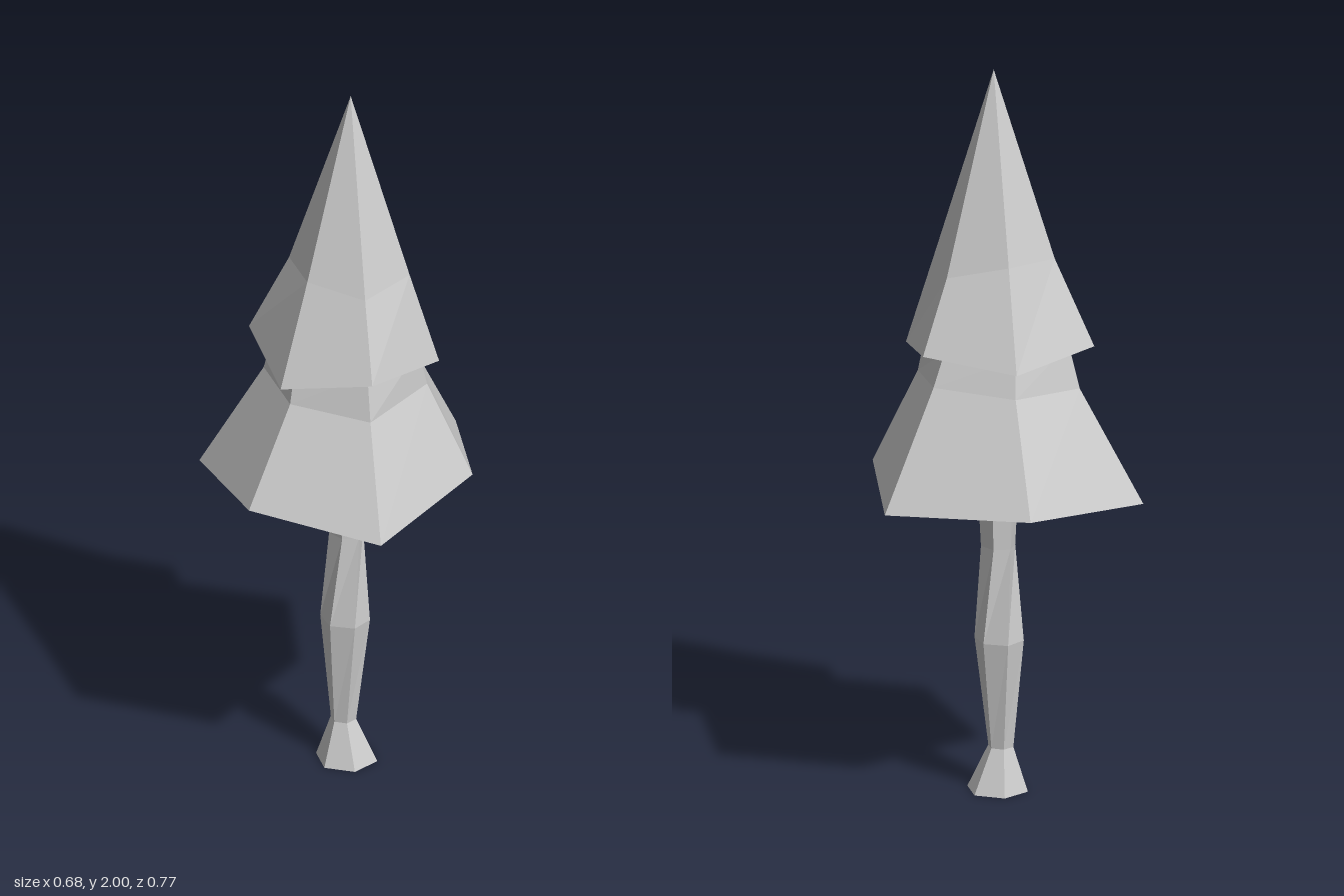
import * as THREE from 'three';

const SIDES = 6;
const material = new THREE.MeshStandardMaterial({ color: 0xcccccc, flatShading: true, roughness: 0.9 });

// Six-sided ring, first corner at the front (+z), running towards +x.
function ring(cx, y, cz, rx, rz, twist = 0) {
  return Array.from({ length: SIDES }, (_, i) => {
    const a = (i / SIDES) * Math.PI * 2 + twist;
    return [cx + Math.sin(a) * rx, y, cz + Math.cos(a) * rz];
  });
}

const point = (x, y, z) => Array.from({ length: SIDES }, () => [x, y, z]);

// Skins a stack of rings from bottom to top with flat faces.
function loft(name, rings) {
  const pos = [];
  const same = (a, b) => a.every((v, k) => v === b[k]);
  const tri = (a, b, c) => {
    if (!same(a, b) && !same(b, c) && !same(a, c)) pos.push(...a, ...b, ...c);
  };
  for (let r = 0; r < rings.length - 1; r++) {
    for (let i = 0; i < SIDES; i++) {
      const j = (i + 1) % SIDES;
      const [lo, hi] = [rings[r], rings[r + 1]];
      tri(lo[i], lo[j], hi[j]);
      tri(lo[i], hi[j], hi[i]);
    }
  }
  const geometry = new THREE.BufferGeometry();
  geometry.setAttribute('position', new THREE.Float32BufferAttribute(pos, 3));
  geometry.computeVertexNormals();
  const mesh = new THREE.Mesh(geometry, material);
  mesh.name = name;
  return mesh;
}

export function createModel() {
  const tree = new THREE.Group();
  tree.name = 'tree';

  // Trunk: flared foot, pinched ankle, knotted and slightly twisted stem
  tree.add(loft('trunk', [
    point(0.012, 0, 0.022),
    ring(0.012, 0, 0.022, 0.084, 0.083),
    ring(0.006, 0.12, 0.028, 0.035, 0.034),
    ring(0.006, 0.42, 0.022, 0.069, 0.063, 0.1),
    ring(0.008, 0.68, 0.02, 0.05, 0.044, 0.5),
    ring(0.008, 0.9, 0.02, 0.06, 0.056, 0.5),
  ]));

  // Lower foliage: wide uneven skirt that narrows to a neck
  tree.add(loft('lowerFoliage', [
    point(0.01, 0.875, 0.02),
    [[0.01, 0.885, 0.383], [0.34, 0.845, 0.22], [0.293, 0.89, -0.167],
      [0.01, 0.855, -0.385], [-0.34, 0.875, -0.185], [-0.34, 0.835, 0.22]],
    [[0.015, 1.15, 0.235], [0.21, 1.13, 0.13], [0.19, 1.15, -0.1],
      [0.01, 1.17, -0.21], [-0.19, 1.16, -0.1], [-0.19, 1.14, 0.13]],
    ring(0.01, 1.26, 0.02, 0.2, 0.19),
  ]));

  // Upper foliage: pointed cone with a flared uneven hem
  tree.add(loft('upperFoliage', [
    point(0.015, 1.25, 0.02),
    [[0.03, 1.22, 0.285], [0.24, 1.26, 0.153], [0.22, 1.225, -0.115],
      [0.01, 1.265, -0.248], [-0.21, 1.235, -0.115], [-0.222, 1.26, 0.153]],
    [[0.024, 1.5, 0.18], [0.165, 1.47, 0.105], [0.16, 1.48, -0.065],
      [0.018, 1.46, -0.155], [-0.12, 1.5, -0.06], [-0.12, 1.49, 0.105]],
    point(0.025, 2, 0.02),
  ]));

  return tree;
}
